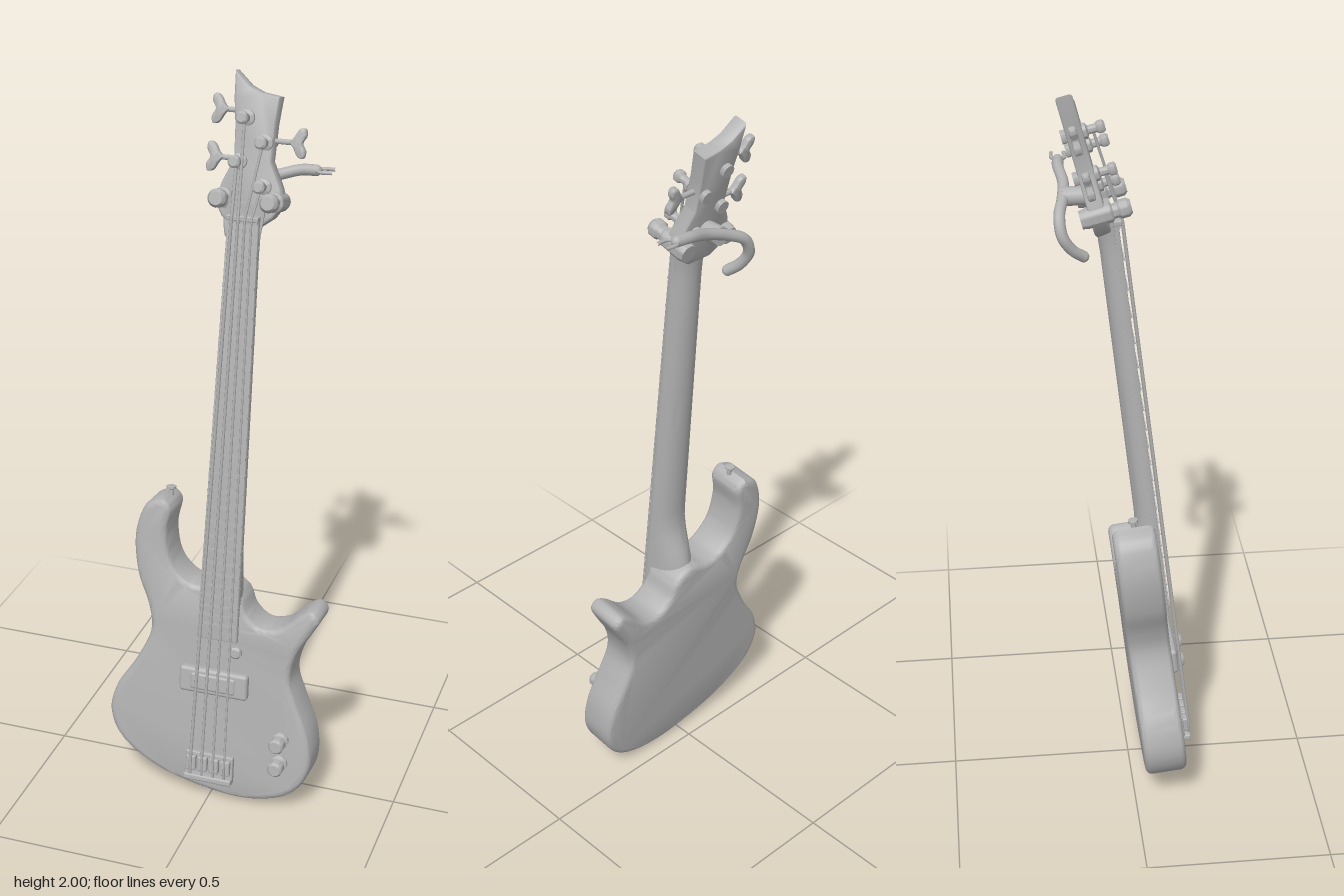
import * as THREE from 'three';
import { toCreasedNormals } from 'three/addons/utils/BufferGeometryUtils.js';
import { RoundedBoxGeometry } from 'three/addons/geometries/RoundedBoxGeometry.js';

const grey = new THREE.MeshStandardMaterial({ color: 0xb2b2b2 });
grey.name = 'plain grey';

function add(parent, name, geometry, x = 0, y = 0, z = 0) {
  const mesh = new THREE.Mesh(geometry, grey);
  mesh.name = name;
  mesh.position.set(x, y, z);
  parent.add(mesh);
  return mesh;
}
const v2 = (p) => p.map(([x, y]) => new THREE.Vector2(x, y));
const v3 = (p) => p.map((a) => new THREE.Vector3(...a));

// Rounded slab whose front face lies at z = 0
function slab(points, depth, bevel) {
  const geo = new THREE.ExtrudeGeometry(new THREE.Shape(points), {
    depth: depth - 2 * bevel, bevelEnabled: bevel > 0, bevelSize: bevel,
    bevelThickness: bevel, bevelOffset: -bevel, bevelSegments: 4,
  });
  geo.translate(0, 0, bevel - depth);
  return toCreasedNormals(geo, 0.7);
}
// Turned part with its axis along +z; profile is [radius, height]
function turned(profile, sides = 20) {
  const geo = new THREE.LatheGeometry(v2(profile), sides);
  geo.rotateX(Math.PI / 2);
  return toCreasedNormals(geo, 0.7);
}
function tube(points, radius, segments = 24, sides = 8) {
  return new THREE.TubeGeometry(new THREE.CatmullRomCurve3(v3(points)), segments, radius, sides);
}

const neckX = (y) => 0.004 + 0.022 * y;           // neck leans slightly sideways
const neckHalf = (y) => 0.057 - 0.0135 * (y - 0.5); // and tapers upward

function buildBody(g) {
  const outline = [
    [-0.16, 0.88], [-0.21, 0.85], [-0.236, 0.76], [-0.225, 0.65], [-0.192, 0.56], [-0.184, 0.484],
    [-0.225, 0.39], [-0.28, 0.3], [-0.297, 0.22], [-0.267, 0.145], [-0.19, 0.085], [-0.087, 0.045],
    [0.06, 0.021], [0.167, 0.031], [0.246, 0.07], [0.288, 0.145], [0.283, 0.24], [0.246, 0.336],
    [0.221, 0.41], [0.235, 0.484], [0.273, 0.553], [0.294, 0.597], [0.272, 0.621], [0.24, 0.605],
    [0.188, 0.56], [0.135, 0.549], [0.093, 0.58], [0.07, 0.63], [0.02, 0.66], [-0.04, 0.645],
    [-0.087, 0.653], [-0.13, 0.7], [-0.145, 0.78], [-0.134, 0.85],
  ];
  const curve = new THREE.SplineCurve(v2([...outline, outline[0]]));
  const pts = curve.getPoints(170);
  pts.pop();
  add(g, 'body', slab(pts, 0.115, 0.018));

  // Strap buttons
  const button = [[0, -0.01], [0.007, -0.01], [0.007, 0.008], [0.013, 0.011], [0.013, 0.016], [0, 0.018]];
  add(g, 'upperStrapButton', turned(button), -0.152, 0.882, -0.055).rotation.x = -Math.PI / 2;
  add(g, 'lowerStrapButton', turned(button), -0.018, 0.025, -0.05).rotation.x = Math.PI / 2;

  // Control knobs
  const knob = [[0, 0], [0.023, 0], [0.023, 0.007], [0.015, 0.011], [0.015, 0.018], [0.021, 0.022],
    [0.021, 0.046], [0.016, 0.052], [0, 0.052]];
  for (const y of [0.16, 0.23]) add(g, 'controlKnob', turned(knob), 0.206, y, 0);

  // Pickup with its mounting ears and the small thumb rest
  add(g, 'pickup', new RoundedBoxGeometry(0.196, 0.075, 0.03, 3, 0.01), 0.01, 0.37, 0.004);
  add(g, 'pickupCover', new RoundedBoxGeometry(0.13, 0.05, 0.03, 3, 0.008), 0.01, 0.37, 0.008);
  add(g, 'thumbRest', turned([[0, 0], [0.017, 0], [0.017, 0.008], [0.012, 0.013], [0, 0.014]]), 0.068, 0.468, 0);

  // Bridge
  add(g, 'bridgePlate', new RoundedBoxGeometry(0.138, 0.08, 0.016, 2, 0.004), 0.007, 0.11, 0.006);
  add(g, 'bridgeTail', new RoundedBoxGeometry(0.138, 0.018, 0.034, 2, 0.005), 0.007, 0.078, 0.014);
  for (let i = 0; i < 4; i++) {
    add(g, 'saddle', new RoundedBoxGeometry(0.028, 0.044, 0.022, 2, 0.004), -0.043 + i * 0.033, 0.12, 0.016);
  }
}

function buildNeck(g) {
  // Half-round neck swelling into the heel
  const y0 = 0.5, y1 = 1.7;
  const geo = new THREE.CylinderGeometry(1, 1, y1 - y0, 28, 30);
  geo.translate(0, (y0 + y1) / 2, 0);
  const p = geo.attributes.position;
  for (let i = 0; i < p.count; i++) {
    const y = p.getY(i), z = p.getZ(i);
    const heel = THREE.MathUtils.smoothstep(0.8 - y, 0, 0.18);
    const top = THREE.MathUtils.smoothstep(y, 1.6, 1.7);
    const depth = 0.046 - 0.004 * y + 0.055 * heel + 0.012 * top;
    p.setX(i, neckX(y) + p.getX(i) * (neckHalf(y) + 0.012 * top));
    p.setZ(i, z > 0 ? z * 0.002 : z * depth);
  }
  add(g, 'neck', toCreasedNormals(geo, 0.7));

  const edge = (y, s) => [neckX(y) + s * neckHalf(y), y];
  add(g, 'fretboard', slab(v2([edge(0.5, -1), edge(0.5, 1), edge(1.66, 1), edge(1.66, -1)]), 0.016, 0.003), 0, 0, 0.014);
  for (let i = 0; i <= 22; i++) {
    const y = 1.655 - 1.54 * (1 - Math.pow(2, -i / 12));
    add(g, 'fret', new THREE.BoxGeometry(neckHalf(y) * 1.96, 0.006, 0.006), neckX(y), y, 0.015);
  }
  add(g, 'nut', new RoundedBoxGeometry(0.085, 0.014, 0.03, 2, 0.003), neckX(1.665), 1.665, 0.008);
}

const hy = (y) => (y - 1.65) / 0.967; // height measured along the headstock
const posts = [[0.082, 1.73], [0.013, 1.785], [0.077, 1.835], [0.024, 1.89]];

function buildHead(g) {
  const outline = [
    [-0.018, 2.0], [-0.016, 1.935], [-0.008, 1.87], [-0.004, 1.79], [-0.03, 1.735], [-0.046, 1.685],
    [-0.025, 1.65], [0.005, 1.63], [0.075, 1.63], [0.11, 1.655], [0.135, 1.69], [0.124, 1.73],
    [0.094, 1.79], [0.097, 1.88], [0.104, 1.945], [0.055, 1.952], [0.022, 1.966],
  ];
  add(g, 'headstock', slab(v2(outline.map(([x, y]) => [x, hy(y)])), 0.042, 0.007));

  // String posts with rear housings
  const post = [[0, -0.055], [0.017, -0.055], [0.017, 0], [0.02, 0], [0.02, 0.008], [0.011, 0.013], [0.011, 0.032],
    [0.016, 0.038], [0.016, 0.05], [0.011, 0.055], [0, 0.055]];
  for (const [x, y] of posts) add(g, 'stringPost', turned(post), x, hy(y), 0);

  // Tuning keys: a stem with a two-lobed grip
  const grip = new THREE.SplineCurve(v2([[0, 0], [0.012, 0.012], [0.026, 0.034], [0.042, 0.036], [0.045, 0.018],
    [0.036, 0], [0.045, -0.018], [0.042, -0.036], [0.026, -0.034], [0.012, -0.012], [0, 0]])).getPoints(44);
  grip.pop();
  const gripGeo = slab(grip, 0.02, 0.006);
  for (const [x, y, side] of [[-0.03, 1.905, -1], [-0.035, 1.79, -1], [0.13, 1.84, 1]]) {
    const key = new THREE.Group();
    key.name = 'tuningKey';
    key.position.set(x, hy(y), -0.022);
    key.rotation.y = side < 0 ? Math.PI : 0;
    add(key, 'keyGrip', gripGeo, 0, 0, 0.01);
    add(key, 'keyStem', new THREE.CylinderGeometry(0.007, 0.007, 0.06, 10), -0.025).rotation.z = Math.PI / 2;
    g.add(key);
  }

  // Two stout pegs at the shoulders
  const peg = [[0, -0.065], [0.023, -0.065], [0.026, -0.05], [0.026, 0.012], [0.019, 0.018], [0.019, 0.03],
    [0.024, 0.036], [0.024, 0.055], [0.017, 0.064], [0, 0.064]];
  for (const x of [-0.022, 0.113]) add(g, 'shoulderPeg', turned(peg), x, hy(1.695), 0);
}

function buildStrings(g, head) {
  head.updateMatrix();
  for (let i = 0; i < 4; i++) {
    const [px, py] = posts[[1, 3, 2, 0][i]];
    const end = new THREE.Vector3(px, hy(py), 0.024).applyMatrix4(head.matrix);
    const xs = -0.043 + i * 0.033, xn = 0.014 + i * 0.0175;
    const path = new THREE.CurvePath();
    const pts = v3([[xs, 0.078, 0.024], [xs, 0.12, 0.029], [xn, 1.665, 0.025], end.toArray()]);
    for (let k = 0; k < 3; k++) path.add(new THREE.LineCurve3(pts[k], pts[k + 1]));
    add(g, 'string', new THREE.TubeGeometry(path, 120, 0.0046 - 0.0005 * i, 6));
  }
}

// Curved forked lever behind the head
function buildLever(root) {
  add(root, 'lever', tube([[0.19, 1.755, -0.158], [0.15, 1.752, -0.16], [0.09, 1.735, -0.152], [0.03, 1.715, -0.158],
    [-0.02, 1.69, -0.17], [-0.042, 1.645, -0.165], [-0.036, 1.605, -0.14], [-0.024, 1.582, -0.112]], 0.0145, 40, 10));
  add(root, 'leverTip', new THREE.SphereGeometry(0.0145, 12, 8), -0.024, 1.582, -0.112);
  add(root, 'leverFork', new THREE.SphereGeometry(0.0145, 12, 8), 0.19, 1.755, -0.158);
  for (const s of [-1, 1]) {
    add(root, 'leverProng', tube([[0.188, 1.755, -0.157 + s * 0.005], [0.205, 1.756, -0.156 + s * 0.017],
      [0.236, 1.757, -0.156 + s * 0.016]], 0.005, 10, 6));
  }
  add(root, 'leverMount', new THREE.CylinderGeometry(0.024, 0.024, 0.06, 20), 0.045, 1.715, -0.128).rotation.x = Math.PI / 2;
}

export function createModel() {
  const root = new THREE.Group();
  root.name = 'bassGuitar';

  // The instrument leans back
  const lean = new THREE.Group();
  lean.name = 'instrument';
  lean.rotation.x = -0.115;
  lean.position.z = 0.155;
  root.add(lean);

  const head = new THREE.Group();
  head.name = 'head';
  head.position.set(0, 1.661, -0.008);
  head.rotation.x = -0.14;
  lean.add(head);

  buildBody(lean);
  buildNeck(lean);
  buildHead(head);
  buildStrings(lean, head);
  buildLever(root);
  return root;
}
